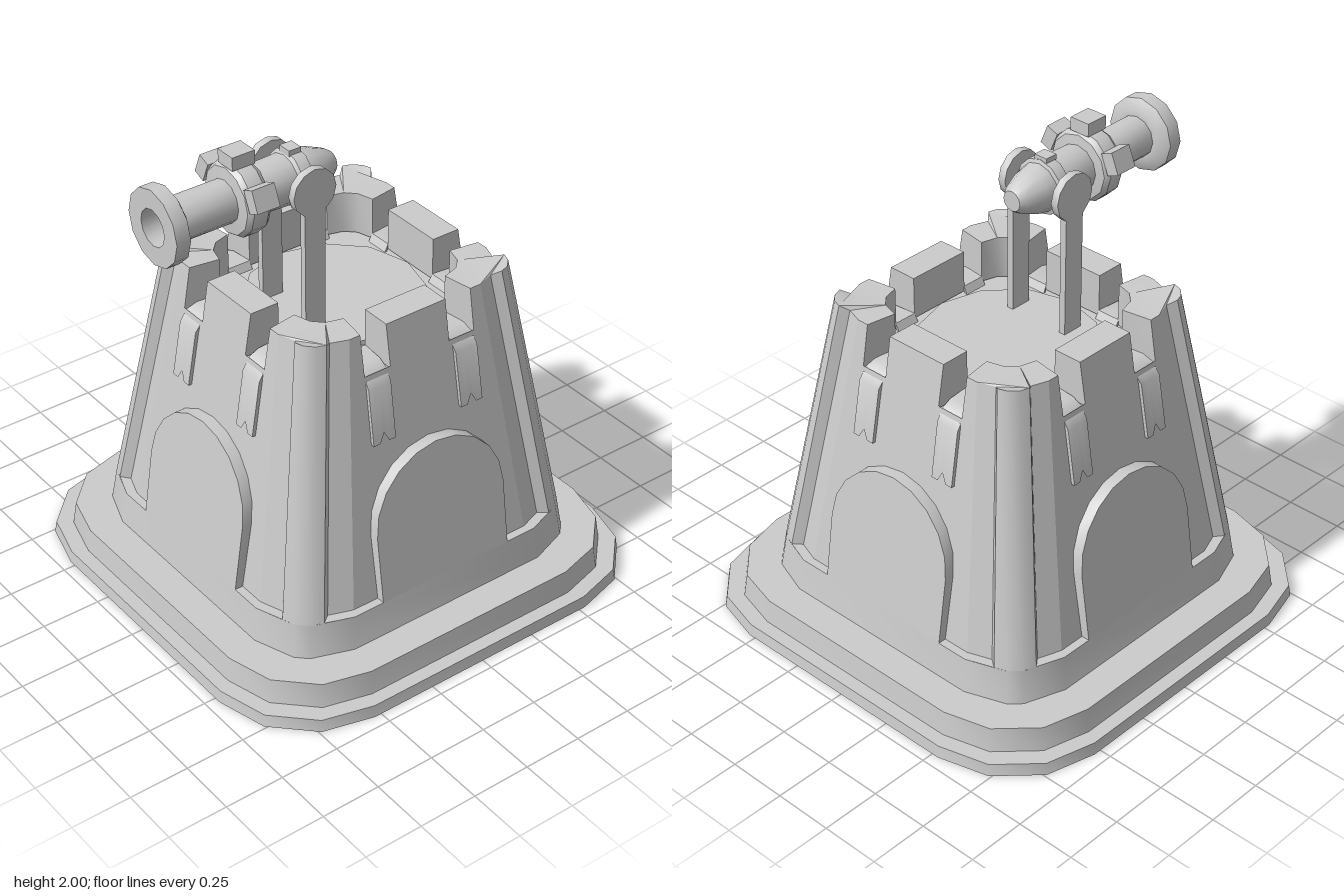
import * as THREE from 'three';
import { toCreasedNormals } from 'three/addons/utils/BufferGeometryUtils.js';

const mat = new THREE.MeshStandardMaterial({ color: 0xcccccc, side: THREE.DoubleSide });

// Half-width of the wall at height y; the corner piers and doors stand proud of it.
const wall = (y) => 0.68 - 0.17 * (y - 0.29);
const pier = (y) => wall(y) + 0.035;
const door = (y) => 0.715 - 0.145 * (y - 0.29);
const FLOOR = 1.2, TOP = 1.38, PIER_TOP = 1.4, INNER = 0.37, FOOT = 0.29;

function mesh(name, geometry, parent) {
  const m = new THREE.Mesh(toCreasedNormals(geometry, 0.6), mat);
  m.name = name;
  parent.add(m);
  return m;
}

// Skin over rows of [x, y, z] points.
function loft(rows) {
  const n = rows[0].length, index = [];
  for (let r = 0; r < rows.length - 1; r++) {
    for (let c = 0; c < n - 1; c++) {
      const a = r * n + c, b = a + 1, d = a + n, e = d + 1;
      index.push(a, b, d, b, e, d);
    }
  }
  const g = new THREE.BufferGeometry();
  g.setAttribute('position', new THREE.Float32BufferAttribute(rows.flat(2), 3));
  g.setIndex(index);
  g.computeVertexNormals();
  return g;
}

// Flat outline, with a rule that moves each vertex.
function sheet(points, rule) {
  const g = new THREE.ShapeGeometry(new THREE.Shape(points.map(([x, y]) => new THREE.Vector2(x, y))));
  const p = g.attributes.position;
  for (let i = 0; i < p.count; i++) p.setXYZ(i, ...rule(p.getX(i), p.getY(i)));
  g.computeVertexNormals();
  return g;
}
// Horizontal face from [x, z] points.
const cap = (pts, height) => sheet(pts.map(([x, z]) => [x, -z]), (x, y) => [x, height(x, -y), -y]);

// Rounded square ring, corner by corner; returns [x, z] points.
function ring(half, corner) {
  const pts = [];
  for (let k = 0; k < 4; k++) {
    for (let [x, z] of corner) {
      for (let i = 0; i < k; i++) [x, z] = [z, -x];
      pts.push([x * half, z * half]);
    }
  }
  return pts;
}
const bodyCorner = [[0.626, 1], [0.857, 0.918], [0.918, 0.857], [1, 0.626]];
const baseCorner = [[0.558, 1], [0.779, 0.941], [0.941, 0.779], [1, 0.558]];
const closedRow = (half, y, corner) => {
  const row = ring(half, corner).map(([x, z]) => [x, y, z]);
  return [...row, row[0]];
};

// Corner outline: wall end, pier foot, pier edge and pier face, then mirrored.
function cornerPoints(yWall, yPier) {
  const w = wall(yWall), p = pier(yPier);
  const half = [
    [0.626 * w, yWall, w], [0.77 * w, yWall, 0.949 * w],
    [0.785 * p, yPier, 0.943 * p], [0.857 * p, yPier, 0.918 * p],
  ];
  return [...half, ...half.map(([x, y, z]) => [z, y, x]).reverse()];
}

function archPoints() {
  const pts = [[-0.31, FOOT]];
  for (let i = 0; i <= 10; i++) {
    const a = Math.PI * (1 - i / 10);
    pts.push([0.31 * Math.cos(a), 0.57 + 0.3 * Math.sin(a)]);
  }
  return [...pts, [0.31, FOOT]];
}

function addSide(side) {
  const arch = archPoints();

  // Wall panel with the door opening and two crenels
  const topX = 0.626 * wall(TOP), footX = 0.626 * wall(FOOT);
  const right = [[footX, FOOT], [topX, TOP], [0.26, TOP], [0.26, 1.21], [0.14, 1.21], [0.14, TOP]];
  const left = right.map(([x, y]) => [-x, y]).reverse();
  mesh('wallPanel', sheet([...arch, ...right, ...left], (x, y) => [x, y, wall(y)]), side);

  // Raised arched door
  mesh('archedDoor', sheet(arch, (x, y) => [x, y, door(y)]), side);
  mesh('doorRim', loft([
    arch.map(([x, y]) => [x, y, door(y)]),
    arch.map(([x, y]) => [x, y, wall(y)]),
  ]), side);

  // Middle merlon
  const merlon = (y) => [[0.14, y, wall(y)], [0.14, y, INNER], [-0.14, y, INNER], [-0.14, y, wall(y)]];
  mesh('merlon', loft([merlon(FLOOR), merlon(TOP)]), side);
  mesh('merlonTop', cap(merlon(TOP).map(([x, , z]) => [x, z]), () => TOP), side);

  // Corner wall with its pier
  const foot = cornerPoints(FOOT, FOOT), head = cornerPoints(TOP, PIER_TOP);
  mesh('cornerPier', loft([foot, head]), side);

  // Corner battlement: crenel sides, inner face and top
  const inner = (y) => [
    [wall(y), y, 0.26], [INNER, y, 0.24], [0.35, y, 0.31],
    [0.31, y, 0.35], [0.24, y, INNER], [0.26, y, wall(y)],
  ];
  mesh('cornerBattlement', loft([inner(FLOOR), inner(TOP)]), side);
  mesh('cornerTop', cap([...head, ...inner(TOP)].map(([x, , z]) => [x, z]),
    (x, z) => (x + z > 0.88 ? PIER_TOP : TOP)), side);

  // Ledges at the foot of the wall, and the crenel drapes
  const p = pier(FOOT), w = wall(FOOT);
  const outerLedge = [[0.31, FOOT, p], [0.626 * p, FOOT, p], [0.785 * p, FOOT, 0.943 * p]];
  const innerLedge = [[0.31, FOOT, w], [0.626 * w, FOOT, w], [0.77 * w, FOOT, 0.949 * w]];
  for (const s of [1, -1]) {
    mesh('footLedge', loft([outerLedge, innerLedge]), side).scale.x = s;
    mesh('crenelDrape', drapeGeometry(), side).scale.x = s;
  }
}

// Ragged strip folded over a crenel sill and down the outside
function drapeGeometry() {
  const path = [[0.93], [1.16], [1.205, 0.515], [1.222, 0.47], [1.222, 0.37], [1.19, 0.353]];
  const columns = [[-1, 0.02], [-1, 0], [-0.4, 0], [0, 0], [0.4, 0], [1, 0], [1, 0.02]];
  return loft(path.map(([py, pz], r) => columns.map(([u, inset]) => {
    const y = py + (r === 0 && u === 0 ? 0.04 : 0);
    const z = pz ?? wall(y) + 0.015;
    return [0.19 + (z - 0.36) * 0.09 + u * 0.052, y - (pz ? inset : 0), z - (pz ? 0 : inset)];
  })));
}

function addTelescope(parent) {
  const scope = new THREE.Group();
  scope.name = 'telescope';
  scope.position.y = 1.8;
  parent.add(scope);

  // Barrel from eyepiece to bore, turned about the z axis
  const profile = [
    [0, 0.02], [0.042, 0.02], [0.06, 0.045], [0.09, 0.12], [0.1, 0.17], [0.115, 0.175],
    [0.115, 0.225], [0.1, 0.235], [0.095, 0.385], [0.135, 0.39], [0.15, 0.41], [0.15, 0.475],
    [0.135, 0.495], [0.086, 0.5], [0.086, 0.73], [0.11, 0.73], [0.155, 0.755], [0.155, 0.815],
    [0.075, 0.815], [0.075, 0.7], [0, 0.7],
  ].map(([r, z]) => new THREE.Vector2(r, z));
  mesh('barrel', new THREE.LatheGeometry(profile, 12).rotateX(Math.PI / 2), scope);

  // Lugs around the collar
  for (const a of [0, 1.18, -1.18]) {
    const lug = mesh('collarLug', new THREE.BoxGeometry(0.09, 0.055, 0.1).translate(0, 0.168, 0.445), scope);
    lug.rotation.z = a;
  }
  mesh('sightBlock', new THREE.BoxGeometry(0.06, 0.025, 0.055).translate(0, 0.115, 0.205), scope);

  // Posts and pivot discs
  for (const s of [1, -1]) {
    mesh('pivotDisc', new THREE.CylinderGeometry(0.097, 0.097, 0.033, 12)
      .rotateZ(Math.PI / 2).translate(s * 0.135, 0, 0.205), scope);
    mesh('post', new THREE.BoxGeometry(0.028, 0.61, 0.093).translate(s * 0.137, -0.305, 0.205), scope);
  }
}

export function createModel() {
  const model = new THREE.Group();
  model.name = 'watchtower';

  // Stepped plinth and skirt, open underneath
  mesh('plinth', loft([
    closedRow(0.95, 0, baseCorner), closedRow(0.943, 0.05, baseCorner),
    closedRow(0.885, 0.05, baseCorner), closedRow(0.872, 0.15, baseCorner),
    closedRow(0.735, 0.15, bodyCorner), closedRow(0.715, FOOT, bodyCorner),
  ]), model);

  // Four matching sides, each with one corner
  for (let k = 0; k < 4; k++) {
    const side = new THREE.Group();
    side.name = 'towerSide';
    side.rotation.y = k * Math.PI / 2;
    addSide(side);
    model.add(side);
  }

  // Platform inside the battlements
  mesh('platform', cap(ring(wall(FLOOR), bodyCorner), () => FLOOR - 0.01), model);
  mesh('turntable', new THREE.CylinderGeometry(0.36, 0.36, 0.02, 12).translate(0, FLOOR, 0), model);

  addTelescope(model);
  return model;
}
